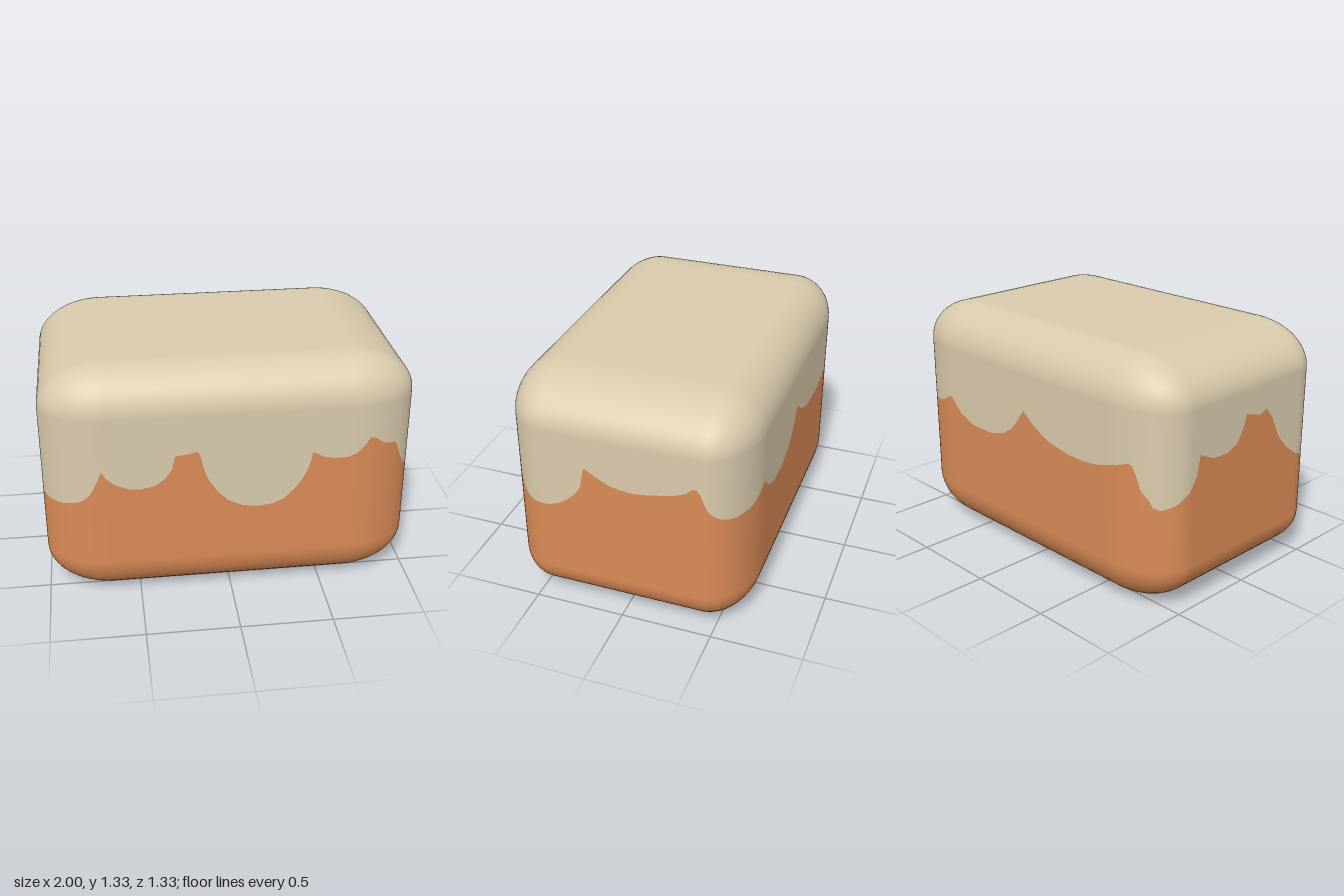
import * as THREE from 'three';

const frostingMat = new THREE.MeshStandardMaterial({ color: 0xd9caac });
frostingMat.name = 'cream frosting';
const cakeMat = new THREE.MeshStandardMaterial({ color: 0xd98a56 });
cakeMat.name = 'orange base';

// Overall half sizes and edge radii (x edges are stretched)
const HX = 1, HZ = 0.665, H = 1.33;
const RX = 0.36, RY = 0.24, RZ = 0.24;

// Lower edge of the frosting on each side: [position along side, height]
const frontDrips = [
  [-1, 0.59], [-0.9, 0.59], [-0.81, 0.61], [-0.75, 0.66], [-0.71, 0.74], [-0.7, 0.8], [-0.685, 0.8],
  [-0.67, 0.765], [-0.62, 0.72], [-0.55, 0.69], [-0.48, 0.685], [-0.41, 0.7], [-0.36, 0.735],
  [-0.32, 0.79], [-0.31, 0.83], [-0.303, 0.87], [-0.23, 0.875], [-0.185, 0.89], [-0.17, 0.86],
  [-0.155, 0.79], [-0.13, 0.72], [-0.08, 0.64], [-0.02, 0.58], [0.06, 0.545], [0.14, 0.535],
  [0.22, 0.545], [0.28, 0.575], [0.33, 0.625], [0.37, 0.68], [0.4, 0.74], [0.415, 0.79], [0.425, 0.845],
  [0.45, 0.83], [0.49, 0.81], [0.54, 0.8], [0.61, 0.8], [0.66, 0.82], [0.7, 0.855], [0.73, 0.905],
  [0.745, 0.91], [0.78, 0.885], [0.82, 0.855], [0.855, 0.845], [0.9, 0.845],
];
const leftDrips = [
  [-0.6, 0.845], [-0.58, 0.77], [-0.565, 0.72], [-0.54, 0.68], [-0.5, 0.65], [-0.42, 0.64],
  [-0.38, 0.645], [-0.33, 0.665], [-0.28, 0.7], [-0.24, 0.74], [-0.21, 0.78], [-0.195, 0.83],
  [-0.188, 0.9], [-0.175, 0.91], [-0.15, 0.895], [-0.1, 0.865], [-0.05, 0.84], [0, 0.828], [0.08, 0.82],
  [0.15, 0.828], [0.22, 0.842], [0.3, 0.86], [0.36, 0.885], [0.4, 0.92], [0.42, 0.92], [0.44, 0.89],
  [0.46, 0.83], [0.48, 0.79], [0.52, 0.755], [0.57, 0.735], [0.6, 0.73],
].map(([p, y]) => [-p, y]).reverse();
const backDrips = [
  [-0.9, 0.61], [-0.835, 0.686], [-0.81, 0.787], [-0.785, 0.818], [-0.705, 0.79], [-0.59, 0.755],
  [-0.475, 0.738], [-0.36, 0.74], [-0.207, 0.765], [-0.09, 0.82], [-0.03, 0.865], [0, 0.885],
  [0.046, 0.819], [0.1, 0.756], [0.176, 0.708], [0.29, 0.677], [0.444, 0.678], [0.56, 0.723],
  [0.62, 0.78], [0.65, 0.81], [0.72, 0.765], [0.78, 0.745], [0.9, 0.73],
];
const rightDrips = [
  [-0.6, 0.6], [-0.57, 0.585], [-0.51, 0.61], [-0.435, 0.67], [-0.39, 0.743], [-0.37, 0.846],
  [-0.27, 0.8], [-0.16, 0.794], [-0.083, 0.826], [-0.04, 0.9], [-0.018, 0.97], [0.09, 0.934],
  [0.147, 0.954], [0.2, 0.892], [0.257, 0.774], [0.334, 0.688], [0.42, 0.625], [0.5, 0.595], [0.6, 0.59],
];

function heightAt(list, p) {
  if (p <= list[0][0]) return list[0][1];
  for (let i = 1; i < list.length; i++) {
    const [p0, y0] = list[i - 1], [p1, y1] = list[i];
    if (p <= p1) return y0 + (y1 - y0) * (p - p0) / (p1 - p0);
  }
  return list[list.length - 1][1];
}

// Columns around the plan outline: corner centre, outward angle, drip height
function makeColumns() {
  const cols = [], ix = HX - RX, iz = HZ - RZ, corner = 24;
  const centres = [[ix, iz], [-ix, iz], [-ix, -iz], [ix, -iz]];
  const add = (cx, cz, th) => {
    const c = Math.cos(th), s = Math.sin(th);
    const x = cx + RX * c, z = cz + RZ * s;
    const y = Math.abs(c) > Math.abs(s)
      ? heightAt(c > 0 ? leftDrips : rightDrips, z)
      : heightAt(s > 0 ? frontDrips : backDrips, x);
    cols.push({ cx, cz, c, s, y });
  };
  centres.forEach(([cx, cz], k) => {
    for (let i = 0; i <= corner; i++) add(cx, cz, (k + i / corner) * Math.PI / 2);
    const [nx, nz] = centres[(k + 1) % 4];
    const n = Math.round(Math.hypot(nx - cx, nz - cz) / 0.008);
    for (let i = 1; i < n; i++) {
      add(cx + (nx - cx) * i / n, cz + (nz - cz) * i / n, (k + 1) * Math.PI / 2);
    }
  });
  return cols;
}

// Shell from stacked loops; each row is a drip edge, an edge-rounding latitude or the cap centre
function makeShell(cols, rows) {
  const pos = [], nor = [], idx = [], n = cols.length;
  for (const row of rows) {
    for (const { cx, cz, c, s, y } of cols) {
      const phi = row.phi ?? 0, k = Math.cos(phi), up = Math.sin(phi);
      if (row.centre) pos.push(0, up > 0 ? H : 0, 0);
      else if (row.drip) pos.push(cx + RX * c, y, cz + RZ * s);
      else pos.push(cx + RX * k * c, (up > 0 || row.top ? H - RY : RY) + RY * up, cz + RZ * k * s);
      const v = new THREE.Vector3(k * c / RX, up / RY, k * s / RZ).normalize();
      nor.push(v.x, v.y, v.z);
    }
  }
  for (let r = 0; r < rows.length - 1; r++) {
    for (let i = 0; i < n; i++) {
      const j = (i + 1) % n, a = r * n + i, b = r * n + j;
      idx.push(a, a + n, b, b, a + n, b + n);
    }
  }
  const geo = new THREE.BufferGeometry();
  geo.setAttribute('position', new THREE.Float32BufferAttribute(pos, 3));
  geo.setAttribute('normal', new THREE.Float32BufferAttribute(nor, 3));
  geo.setIndex(idx);
  return geo;
}

export function createModel() {
  const group = new THREE.Group();
  group.name = 'frostedBlock';
  const cols = makeColumns(), steps = 12, q = Math.PI / 2;

  // Dripping frosting: drip edge, wall, rounded rim, flat top
  const topRows = [{ drip: true }];
  for (let i = 0; i <= steps; i++) topRows.push({ phi: q * i / steps, top: true });
  topRows.push({ phi: q, centre: true });
  const frosting = new THREE.Mesh(makeShell(cols, topRows), frostingMat);
  frosting.name = 'frosting';

  // Base: flat bottom, rounded rim, wall up to the drip edge
  const baseRows = [{ phi: -q, centre: true }];
  for (let i = 0; i <= steps; i++) baseRows.push({ phi: q * (i / steps - 1) });
  baseRows.push({ drip: true });
  const base = new THREE.Mesh(makeShell(cols, baseRows), cakeMat);
  base.name = 'base';

  group.add(frosting, base);
  return group;
}
